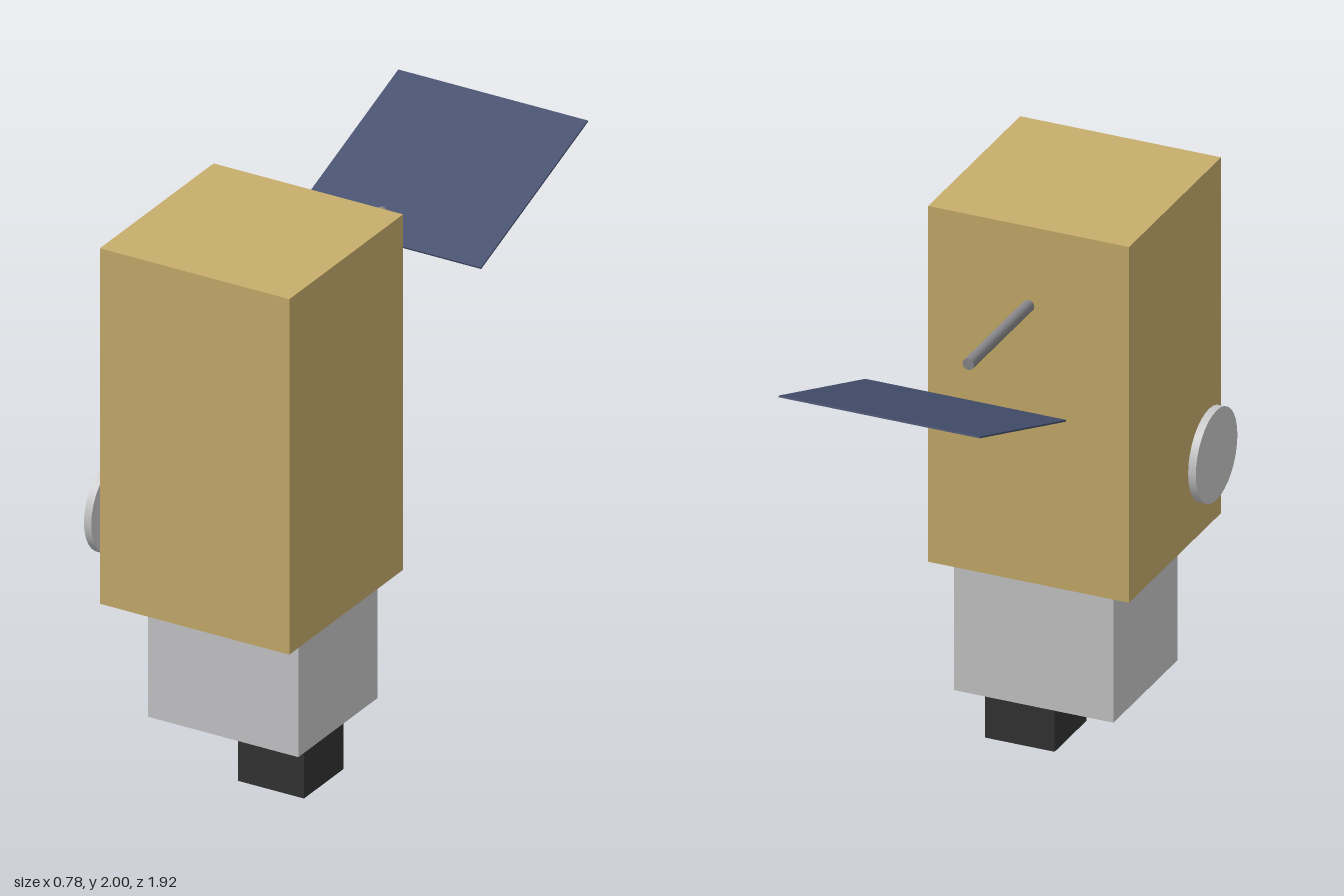
import * as THREE from 'three';

export function createModel() {
  const model = new THREE.Group();
  model.name = 'satellite';

  const material = (name, color) => {
    const m = new THREE.MeshStandardMaterial({ color });
    m.name = name;
    return m;
  };
  const gold = material('gold foil', 0xc8ae6c);
  const silver = material('silver', 0xc8c8ca);
  const black = material('black', 0x333333);
  const blue = material('panel blue', 0x45506f);
  const steel = material('steel grey', 0x88888c);

  const add = (name, geometry, mat, x, y, z) => {
    const mesh = new THREE.Mesh(geometry, mat);
    mesh.name = name;
    mesh.position.set(x, y, z);
    model.add(mesh);
    return mesh;
  };

  // Stacked body, from top to bottom
  add('body', new THREE.BoxGeometry(0.726, 1.306, 0.726), gold, 0.024, 1.347, 0.583);
  add('instrumentModule', new THREE.BoxGeometry(0.576, 0.474, 0.504), silver, 0.024, 0.457, 0.512);
  add('sensorHousing', new THREE.BoxGeometry(0.252, 0.22, 0.252), black, 0.132, 0.11, 0.512);

  // Boom reaching back towards the solar panel
  const boom = add('panelBoom', new THREE.CylinderGeometry(0.021, 0.021, 0.475, 12), steel, 0.024, 1.71, -0.018);
  boom.rotation.x = Math.PI / 2;

  // Tilted solar panel, higher at the back
  const panel = add('solarPanel', new THREE.BoxGeometry(0.726, 0.006, 0.726), blue, 0.024, 1.712, -0.618);
  panel.rotation.x = THREE.MathUtils.degToRad(20);

  // Round antenna dish beside the body
  const dish = add('antennaDish', new THREE.CylinderGeometry(0.164, 0.164, 0.028, 32), silver, -0.377, 0.985, 0.797);
  dish.rotation.z = Math.PI / 2;

  return model;
}
